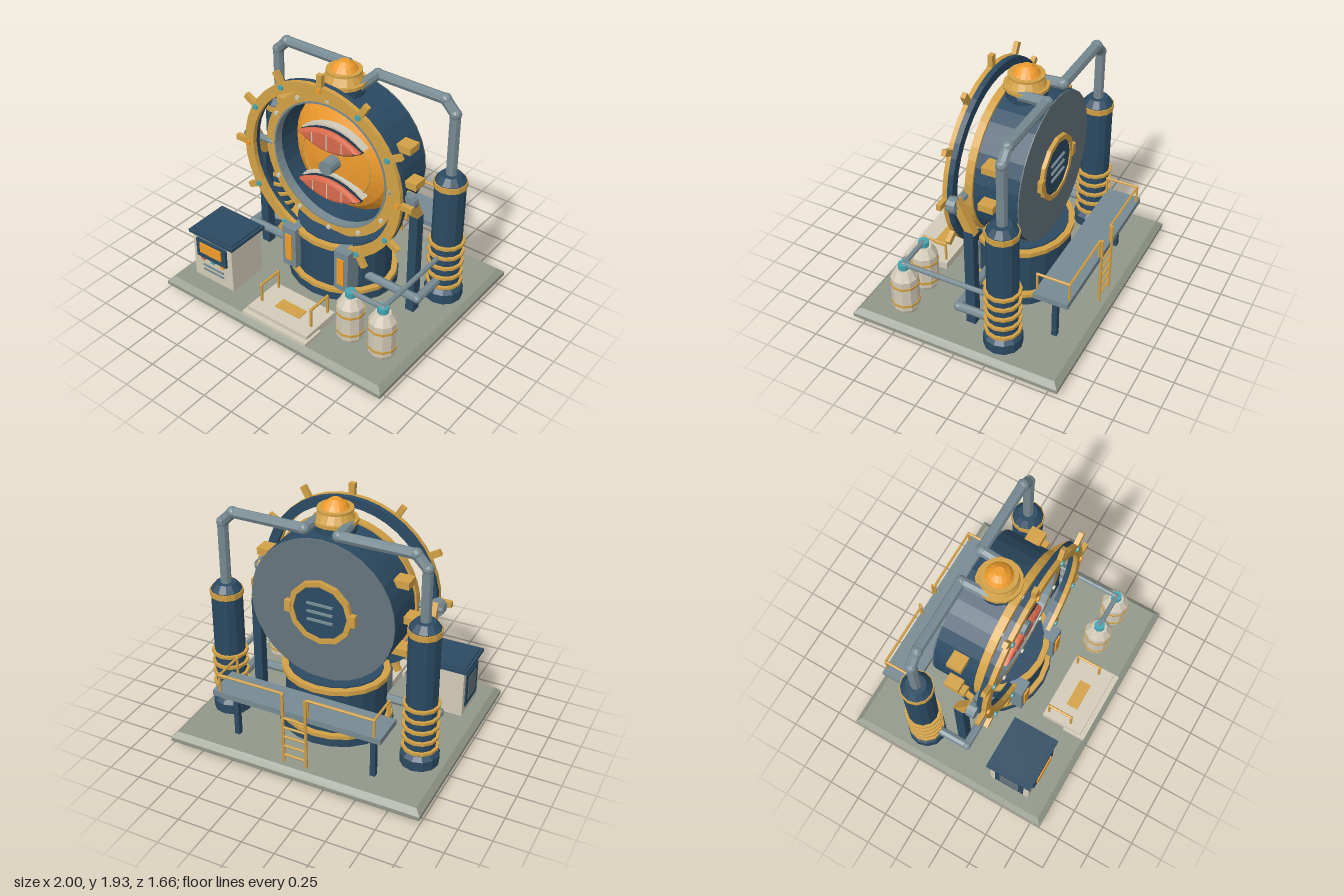
import * as THREE from 'three';

const mat = (color, side = THREE.FrontSide) => new THREE.MeshStandardMaterial({ color, flatShading: true, side });
const M = {
  blue: mat(0x2b4a62), dark: mat(0x1f3547), gold: mat(0xd2a146), orange: mat(0xf09c2c), steel: mat(0x778a92),
  cream: mat(0xd3cbb8), coral: mat(0xd96a4c), teal: mat(0x45a8b4), stone: mat(0x92978a), plate: mat(0x66747c),
  dome: mat(0xee9a2c, THREE.DoubleSide),
};
const V = (x, y, z) => new THREE.Vector3(x, y, z);
const CY = 1.147; // height of the chamber axis

function add(parent, name, geo, material, x = 0, y = 0, z = 0) {
  const m = new THREE.Mesh(geo, material);
  m.name = name;
  m.position.set(x, y, z);
  parent.add(m);
  return m;
}
const box = (p, name, material, w, h, d, x, y, z) => add(p, name, new THREE.BoxGeometry(w, h, d), material, x, y, z);

// upright cylinder from y0 to y1
const cyl = (p, name, material, r0, r1, y0, y1, x, z, seg = 12) =>
  add(p, name, new THREE.CylinderGeometry(r1, r0, y1 - y0, seg), material, x, (y0 + y1) / 2, z);

// straight rod between two points
function rod(p, name, material, a, b, r, seg = 8) {
  const m = add(p, name, new THREE.CylinderGeometry(r, r, a.distanceTo(b), seg), material);
  m.position.copy(a).lerp(b, 0.5);
  m.quaternion.setFromUnitVectors(V(0, 1, 0), b.clone().sub(a).normalize());
  return m;
}
function pipe(p, name, material, pts, r, seg = 8) {
  const g = new THREE.Group();
  g.name = name;
  for (let i = 1; i < pts.length; i++) {
    rod(g, name + 'Run', material, pts[i - 1], pts[i], r, seg);
    if (i > 1) add(g, name + 'Elbow', new THREE.IcosahedronGeometry(r * 1.12, 1), material).position.copy(pts[i - 1]);
  }
  p.add(g);
}
// flat ring facing z, from z0 to z1
function ring(p, name, material, ri, ro, z0, z1, seg = 40) {
  const pts = [[ri, z0], [ro, z0], [ro, z1], [ri, z1], [ri, z0]].map(([r, z]) => new THREE.Vector2(r, z));
  const m = add(p, name, new THREE.LatheGeometry(pts, seg), material, 0, CY, 0);
  m.rotation.x = Math.PI / 2;
  return m;
}
// disc or stub with its axis along z
function stub(p, name, material, r, z0, z1, x, y, seg = 8) {
  const m = add(p, name, new THREE.CylinderGeometry(r, r, z1 - z0, seg), material, x, y, (z0 + z1) / 2);
  m.rotation.x = Math.PI / 2;
  return m;
}
function lens(w, h, depth, bevel) {
  const s = new THREE.Shape();
  s.moveTo(-w, 0);
  s.quadraticCurveTo(-w * 0.5, h, 0, h);
  s.quadraticCurveTo(w * 0.5, h, w, 0);
  s.quadraticCurveTo(w * 0.5, -h, 0, -h);
  s.quadraticCurveTo(-w * 0.5, -h, -w, 0);
  return new THREE.ExtrudeGeometry(s, { depth, curveSegments: 4, bevelEnabled: bevel > 0, bevelSize: bevel, bevelThickness: bevel, bevelOffset: -bevel, bevelSegments: 2 });
}

function buildChamber(g) {
  // shell, open at the front, with closed back
  ring(g, 'chamberShell', M.blue, 0.495, 0.56, -0.3, 0.04, 32);
  ring(g, 'frontFlange', M.gold, 0.5, 0.575, 0.036, 0.095);
  ring(g, 'flangeLiner', M.steel, 0.488, 0.502, 0.03, 0.1);
  stub(g, 'backPlate', M.plate, 0.558, -0.31, -0.29, 0, CY, 32);
  // bulging inner dome
  const pts = [[0.497, -0.22], [0.47, -0.13], [0.4, -0.05], [0.3, 0], [0.15, 0.025], [0, 0.03]].map(([r, z]) => new THREE.Vector2(r, z));
  add(g, 'innerDome', new THREE.LatheGeometry(pts, 32), M.dome, 0, CY, 0).rotation.x = Math.PI / 2;
  add(g, 'domeRing', new THREE.TorusGeometry(0.3, 0.007, 4, 32), M.gold, 0, CY, 0.003);
  box(g, 'domeSeam', M.gold, 0.01, 0.5, 0.02, 0, CY, 0.022);
  stub(g, 'hub', M.steel, 0.058, 0, 0.14, 0, CY, 12);
  for (const y of [CY + 0.205, CY - 0.205]) {
    add(g, 'podShell', lens(0.275, 0.1, 0.06, 0), M.cream, 0, y + 0.006, -0.005);
    add(g, 'podRim', lens(0.275, 0.095, 0.03, 0), M.dark, 0, y - 0.007, 0.05);
    add(g, 'podCushion', lens(0.268, 0.084, 0.02, 0.022), M.coral, 0, y, 0.078);
    for (const x of [-0.13, 0, 0.13]) box(g, 'podStrip', M.cream, 0.008, x ? 0.085 : 0.13, 0.006, x, y, 0.12);
  }
  // outer locking ring with handles and bolts
  ring(g, 'lockRingBack', M.blue, 0.62, 0.69, 0.125, 0.165);
  ring(g, 'lockRing', M.gold, 0.615, 0.692, 0.165, 0.2);
  for (let i = 0; i < 12; i++) {
    const a = i * Math.PI / 6, c = Math.cos(a), s = Math.sin(a);
    box(g, 'ringHandle', M.gold, 0.11, 0.045, 0.036, c * 0.725, CY + s * 0.725, 0.183).rotation.z = a;
    stub(g, 'ringBolt', i % 3 ? M.teal : M.orange, 0.021, 0.195, 0.215, c * 0.663, CY + s * 0.663);
    stub(g, 'flangeBolt', M.cream, 0.018, 0.09, 0.11, c * 0.54, CY + s * 0.54);
  }
  // rear hatch
  ring(g, 'hatchRing', M.gold, 0.21, 0.25, -0.34, -0.3, 12);
  stub(g, 'hatchDoor', M.blue, 0.215, -0.33, -0.3, 0, CY, 12);
  for (const y of [-0.065, 0, 0.065]) box(g, 'hatchBar', M.steel, 0.2, 0.016, 0.02, 0, CY + y, -0.335);
  for (const s of [-1, 1]) box(g, 'hatchHinge', M.gold, 0.05, 0.09, 0.045, s * 0.25, CY, -0.325);
  // top cap
  const cap = [['capNeck', M.blue, 0.15, 0.15, 1.66, 1.76], ['capCollar', M.gold, 0.162, 0.162, 1.755, 1.78], ['capTaper', M.gold, 0.14, 0.1, 1.78, 1.845],
    ['capFlange', M.gold, 0.13, 0.13, 1.842, 1.858], ['capDome', M.orange, 0.098, 0.075, 1.858, 1.89], ['capTip', M.orange, 0.075, 0.035, 1.89, 1.92]];
  for (const [n, m, r0, r1, y0, y1] of cap) cyl(g, n, m, r0, r1, y0, y1, 0, -0.085, 16);
}

function buildPedestal(g) {
  const p = new THREE.Group();
  p.name = 'pedestal';
  p.position.z = -0.085;
  p.scale.x = 1.15;
  g.add(p);
  cyl(p, 'pedestalFoot', M.blue, 0.385, 0.385, 0.1, 0.17, 0, 0, 20);
  cyl(p, 'pedestalFootBand', M.gold, 0.378, 0.378, 0.17, 0.2, 0, 0, 20);
  cyl(p, 'pedestalBody', M.blue, 0.338, 0.338, 0.2, 0.55, 0, 0, 20);
  cyl(p, 'pedestalTopBand', M.gold, 0.36, 0.36, 0.545, 0.582, 0, 0, 20);
  cyl(p, 'pedestalTop', M.blue, 0.315, 0.315, 0.58, 0.595, 0, 0, 20);
}

// column, pipework and trunnion on one side
function buildSide(g, s) {
  const x = s * 0.775, z = -0.3, top = s > 0 ? 1.19 : 1.28;
  cyl(g, 'columnFoot', M.blue, 0.145, 0.145, 0.1, 0.19, x, z);
  cyl(g, 'columnFootTaper', M.blue, 0.145, 0.115, 0.19, 0.22, x, z);
  cyl(g, 'columnShaft', M.blue, 0.115, 0.115, 0.2, top - 0.05, x, z);
  cyl(g, 'columnShoulder', M.blue, 0.115, 0.075, top - 0.05, top, x, z);
  cyl(g, 'columnTopBand', M.gold, 0.123, 0.123, top - 0.1, top - 0.055, x, z);
  for (let i = 0; i < 5; i++) cyl(g, 'columnRing', M.gold, 0.137, 0.137, 0.24 + i * 0.09, 0.262 + i * 0.09, x, z);
  pipe(g, 'upperPipe', M.steel, [V(x, top - 0.02, z), V(x, 1.67, z), V(s * 0.69, 1.76, z), V(s * 0.13, 1.76, z), V(s * 0.12, 1.75, -0.09)], 0.04);
  pipe(g, 'lowerPipe', M.steel, [V(x, 0.29, z), V(x, 0.29, 0.06), V(s * 0.33, 0.29, 0.06)], 0.033);
  // support post, arm and trunnion
  box(g, 'supportPost', M.blue, 0.07, 0.86, 0.075, s * 0.69, 0.53, -0.01);
  const arm = box(g, 'supportArm', M.gold, 0.06, 0.29, 0.065, s * 0.69, 1.06, 0.035);
  arm.rotation.x = 0.45;
  stub(g, 'trunnion', M.steel, 0.062, 0.075, 0.14, s * 0.7, CY, 12);
  rod(g, 'trunnionPin', M.steel, V(s * 0.53, CY, 0.09), V(s * 0.75, CY, 0.09), 0.025);
  // blocks on the chamber wall
  for (const [bx, dy] of [[0.515, 0.27], [0.575, 0], [0.515, -0.27]]) box(g, 'wallBlock', M.gold, 0.15, 0.055, 0.115, s * bx, CY + dy, -0.105);
  // front bracket
  box(g, 'frontBracket', M.steel, 0.125, 0.35, 0.13, s * 0.243, 0.41, 0.205);
  box(g, 'bracketInlay', M.orange, 0.06, 0.23, 0.014, s * 0.243, 0.41, 0.275);
}

function buildCabinet(g) {
  const x = -0.67, z = 0.485;
  box(g, 'cabinetBody', M.cream, 0.38, 0.39, 0.33, x, 0.305, z);
  box(g, 'cabinetLid', M.blue, 0.43, 0.025, 0.37, x, 0.513, z);
  box(g, 'cabinetLidTop', M.blue, 0.39, 0.012, 0.33, x, 0.531, z);
  box(g, 'screenFrame', M.blue, 0.29, 0.16, 0.03, x, 0.395, 0.655);
  box(g, 'screen', M.orange, 0.21, 0.09, 0.015, x, 0.41, 0.672);
  [M.coral, M.teal, M.orange].forEach((m, i) => box(g, 'button', m, 0.035, 0.022, 0.02, x + (i - 1) * 0.095, 0.298, 0.655));
  for (const y of [0.235, 0.195]) box(g, 'vent', M.steel, 0.2, 0.012, 0.015, x, y, 0.653);
  box(g, 'sidePanel', M.blue, 0.015, 0.28, 0.24, x - 0.192, 0.31, z);
  box(g, 'sidePanelInset', M.plate, 0.012, 0.2, 0.16, x - 0.197, 0.31, z);
}

function buildTanks(g) {
  for (const x of [0.505, 0.782]) {
    cyl(g, 'tankBase', M.cream, 0.09, 0.103, 0.11, 0.14, x, 0.5, 10);
    cyl(g, 'tankBody', M.cream, 0.103, 0.103, 0.14, 0.41, x, 0.5, 10);
    cyl(g, 'tankShoulder', M.cream, 0.103, 0.06, 0.41, 0.48, x, 0.5, 10);
    cyl(g, 'tankValve', M.teal, 0.042, 0.042, 0.475, 0.525, x, 0.5, 8);
    for (const y of [0.185, 0.35]) cyl(g, 'tankBand', M.gold, 0.108, 0.108, y - 0.01, y + 0.01, x, 0.5, 10);
  }
  pipe(g, 'tankPipe', M.steel, [V(0.505, 0.515, 0.5), V(0.782, 0.515, 0.5), V(0.782, 0.515, -0.22)], 0.019);
}

function buildSteps(g) {
  box(g, 'lowerStep', M.cream, 0.59, 0.03, 0.18, 0.035, 0.125, 0.71);
  box(g, 'upperStep', M.cream, 0.55, 0.06, 0.33, 0.035, 0.14, 0.595);
  box(g, 'stepPlate', M.gold, 0.225, 0.008, 0.095, 0.035, 0.172, 0.597);
  for (const x of [-0.195, 0.265])
    pipe(g, 'stepRail', M.gold, [V(x, 0.16, 0.46), V(x, 0.32, 0.46), V(x, 0.32, 0.65), V(x, 0.16, 0.65)], 0.011, 6);
}

function buildWalkway(g) {
  box(g, 'walkwayDeck', M.steel, 1.32, 0.045, 0.265, 0, 0.525, -0.605);
  for (const s of [-1, 1]) {
    box(g, 'walkwayLeg', M.blue, 0.04, 0.4, 0.04, s * 0.55, 0.305, -0.6);
    pipe(g, 'walkwayRail', M.gold, [V(s * 0.605, 0.54, -0.48), V(s * 0.605, 0.685, -0.48), V(s * 0.605, 0.685, -0.725), V(s * 0.1, 0.685, -0.725), V(s * 0.1, 0.54, -0.725)], 0.01, 6);
    rod(g, 'walkwayPost', M.gold, V(s * 0.605, 0.54, -0.725), V(s * 0.605, 0.685, -0.725), 0.01, 6);
    rod(g, 'ladderRail', M.gold, V(s * 0.09, 0.1, -0.742), V(s * 0.09, 0.69, -0.742), 0.012, 6);
  }
  for (let i = 0; i < 5; i++) rod(g, 'ladderRung', M.gold, V(-0.09, 0.17 + i * 0.08, -0.742), V(0.09, 0.17 + i * 0.08, -0.742), 0.009, 6);
}

export function createModel() {
  const g = new THREE.Group();
  g.name = 'chamberStation';
  // bevelled base slab
  const s = new THREE.Shape([[-0.96, -0.79], [0.96, -0.79], [0.96, 0.79], [-0.96, 0.79]].map(([x, y]) => new THREE.Vector2(x, y)));
  const slab = new THREE.ExtrudeGeometry(s, { depth: 0.03, bevelSize: 0.04, bevelThickness: 0.04, bevelSegments: 1 });
  slab.rotateX(-Math.PI / 2);
  add(g, 'base', slab, M.stone, 0, 0.04, 0);

  buildPedestal(g);
  buildChamber(g);
  for (const side of [-1, 1]) buildSide(g, side);
  buildCabinet(g);
  buildTanks(g);
  buildSteps(g);
  buildWalkway(g);
  return g;
}
